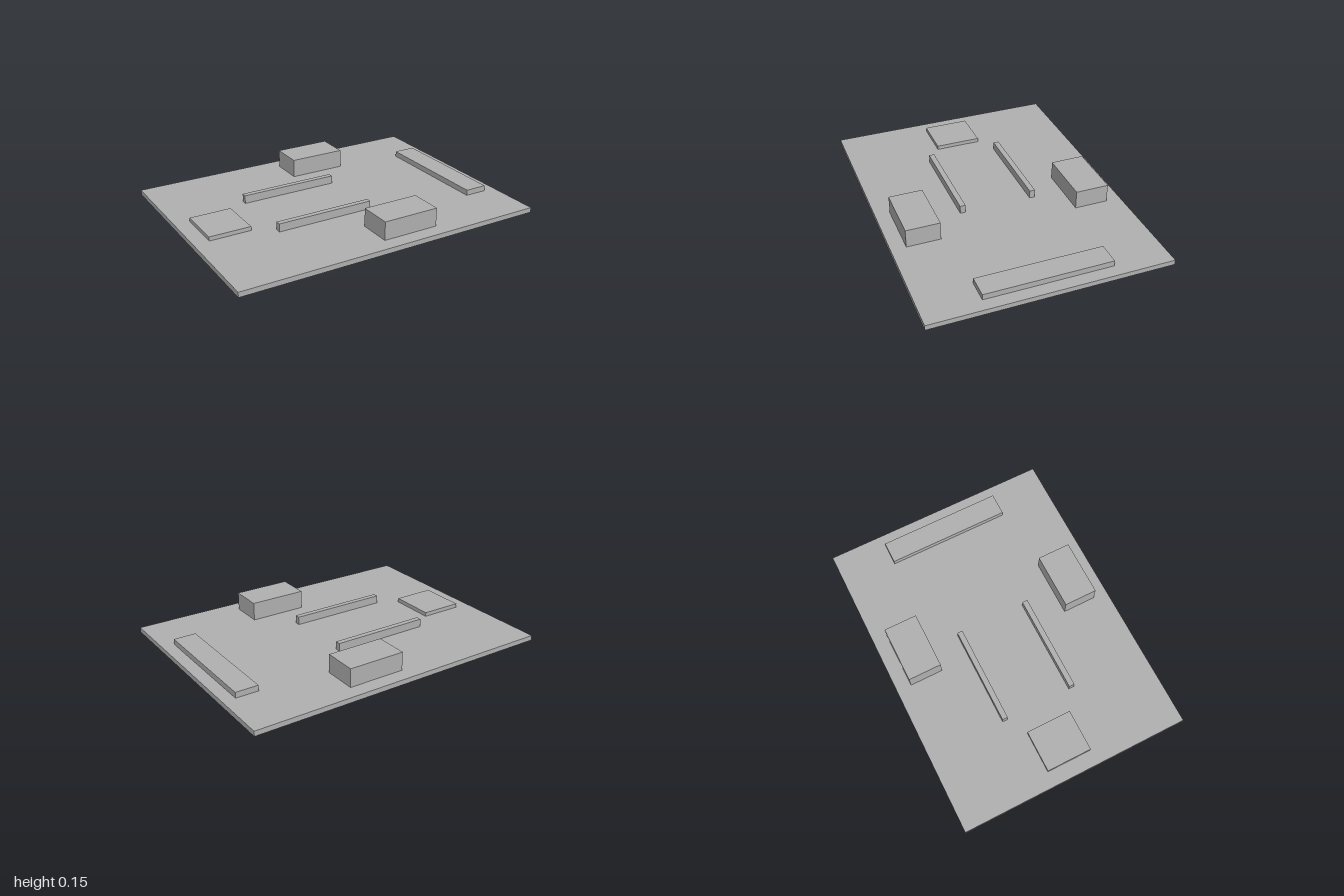
import * as THREE from 'three';

export function createModel() {
  const model = new THREE.Group();
  model.name = 'boardAssembly';
  const grey = new THREE.MeshStandardMaterial({ color: 0xb0b0b0 });
  grey.name = 'plain grey';

  const plateTop = 0.032;

  // Box given by its extents along x, y and z
  function block(name, [x0, x1], [y0, y1], [z0, z1]) {
    const mesh = new THREE.Mesh(new THREE.BoxGeometry(x1 - x0, y1 - y0, z1 - z0), grey);
    mesh.position.set((x0 + x1) / 2, (y0 + y1) / 2, (z0 + z1) / 2);
    mesh.name = name;
    model.add(mesh);
  }

  // Base plate
  block('basePlate', [-1, 1], [0, plateTop], [-0.75, 0.75]);

  // Low pad at one end, long strip at the other
  block('endPad', [-0.903, -0.635], [plateTop, 0.058], [-0.147, 0.147]);
  block('endStrip', [0.775, 0.92], [plateTop, 0.068], [-0.4, 0.4]);

  // Mirrored pairs: inner rails and outer blocks
  for (const [side, s] of [['front', 1], ['back', -1]]) {
    const mirrored = (a, b) => [a * s, b * s].sort((p, q) => p - q);
    block(side + 'Rail', [-0.503, 0.13], [plateTop, 0.084], mirrored(0.215, 0.25));
    block(side + 'Block', [-0.033, 0.333], [plateTop, 0.15], mirrored(0.44, 0.655));
  }

  return model;
}
